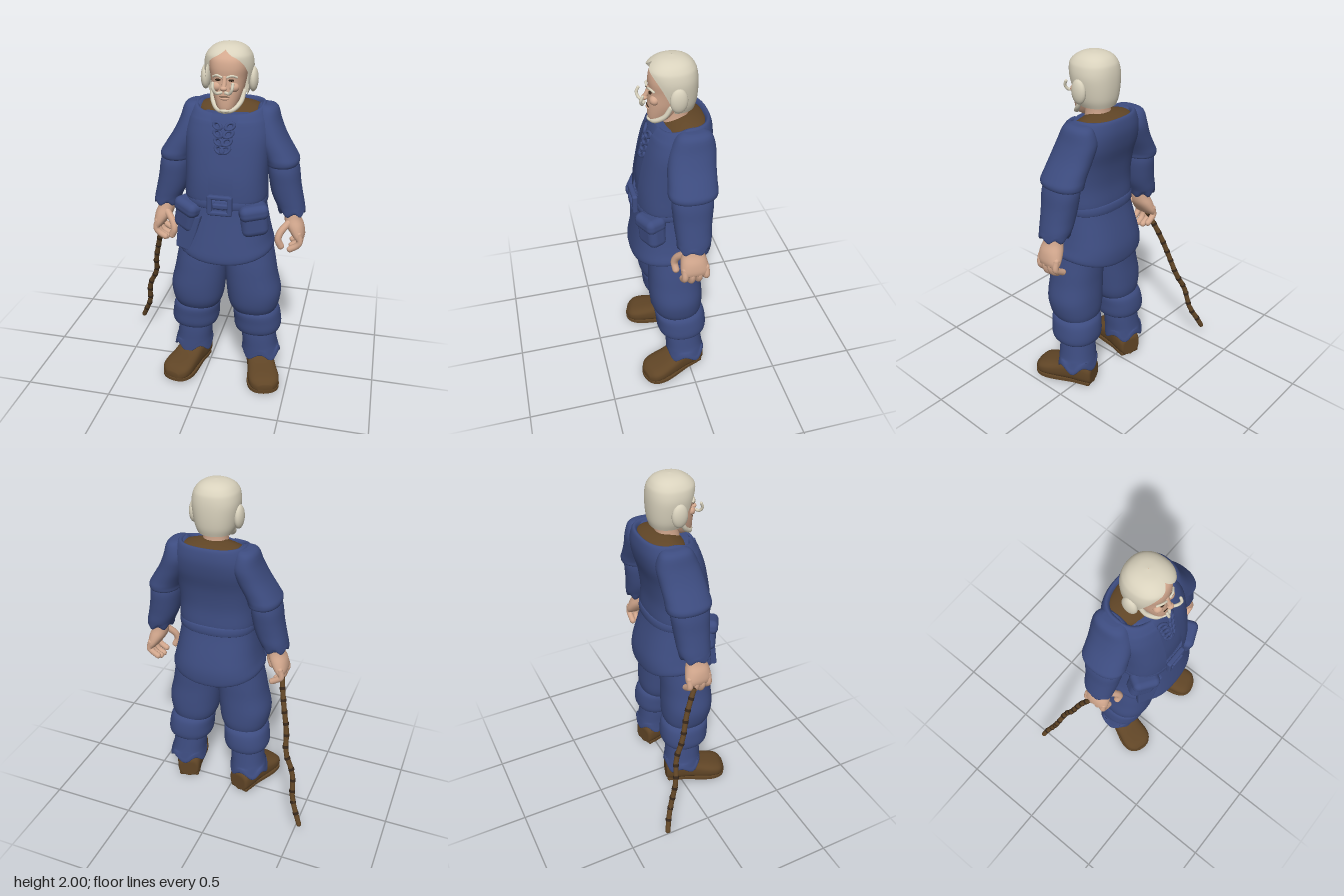
import * as THREE from 'three';
import { RoundedBoxGeometry } from 'three/addons/geometries/RoundedBoxGeometry.js';

const paint = (name, color, side = THREE.FrontSide) => Object.assign(new THREE.MeshStandardMaterial({ color, side }), { name });

// Catmull-Rom blend of four numbers
const blend = (a, b, c, d, t) =>
  b + 0.5 * t * (c - a + t * (2 * a - 5 * b + 4 * c - d + t * (3 * (b - c) + d - a)));

// Skin over oval sections [y, centreX, radiusX, zFront, zBack, openAngle?]; openAngle leaves a gap at the front
function loftGeometry(secs, { p = 0.9, n = 36, steps = 4, warp } = {}) {
  const open = secs[0].length > 5, cols = open ? n + 1 : n;
  const rings = [];
  for (let i = 0; i < secs.length - 1; i++) {
    const q = [i - 1, i, i + 1, i + 2].map(k => secs[Math.min(Math.max(k, 0), secs.length - 1)]);
    for (let k = 0; k < steps; k++) rings.push(q[1].map((_, m) => blend(q[0][m], q[1][m], q[2][m], q[3][m], k / steps)));
  }
  rings.push(secs[secs.length - 1]);
  const pos = [], idx = [], v = new THREE.Vector3();
  const pw = c => Math.sign(c) * Math.abs(c) ** p;
  for (const [y, cx, rx, zf, zb, t0 = 0] of rings) {
    for (let j = 0; j < cols; j++) {
      const t = t0 + (j / n) * (2 * Math.PI - 2 * t0);
      v.set(cx + rx * pw(Math.sin(t)), y, (zf + zb) / 2 + (zf - zb) / 2 * pw(Math.cos(t)));
      if (warp) warp(v, t);
      pos.push(v.x, v.y, v.z);
    }
  }
  const up = secs[secs.length - 1][0] > secs[0][0];
  const tri = (a, b, c) => up ? idx.push(a, b, c) : idx.push(a, c, b);
  for (let i = 0; i < rings.length - 1; i++) for (let j = 0; j < n; j++) {
    const a = i * cols + j, b = i * cols + (j + 1) % cols;
    tri(a, b, a + cols);
    tri(b, b + cols, a + cols);
  }
  if (!open) for (const end of [0, rings.length - 1]) {
    const [y, cx, , zf, zb] = rings[end], c = pos.length / 3;
    pos.push(cx, y, (zf + zb) / 2);
    for (let j = 0; j < n; j++) {
      const a = end * cols + j, b = end * cols + (j + 1) % n;
      end ? tri(a, b, c) : tri(b, a, c);
    }
  }
  const g = new THREE.BufferGeometry();
  g.setAttribute('position', new THREE.Float32BufferAttribute(pos, 3));
  g.setIndex(idx);
  g.computeVertexNormals();
  return g;
}

export function createModel() {
  const cloth = paint('blue cloth', 0x3d4c80, THREE.DoubleSide);
  const skin = paint('skin', 0xd3a88e);
  const hairMat = paint('grey hair', 0xd9d2bd, THREE.DoubleSide);
  const leather = paint('brown leather', 0x604526);
  const dark = paint('dark brown', 0x35261a);

  const model = new THREE.Group();
  model.name = 'oldTraveller';
  const body = new THREE.Group();
  body.name = 'body';
  body.position.x = 0.11;
  model.add(body);

  const add = (name, geo, mat, x = 0, y = 0, z = 0, parent = body) => {
    const m = new THREE.Mesh(geo, mat);
    m.name = name;
    m.position.set(x, y, z);
    parent.add(m);
    return m;
  };
  const loft = (name, mat, secs, opt) => add(name, loftGeometry(secs, opt), mat);
  const curve = pts => new THREE.CatmullRomCurve3(pts.map(q => new THREE.Vector3(...q)));
  const tube = (name, mat, pts, r, parent = body) => {
    add(name, new THREE.TubeGeometry(curve(pts), 16, r, 10), mat, 0, 0, 0, parent);
    for (const e of [pts[0], pts[pts.length - 1]]) add(name + 'End', new THREE.SphereGeometry(r, 10, 8), mat, ...e, parent);
  };
  const ball = (name, mat, at, size) => {
    const m = add(name, new THREE.SphereGeometry(1, 20, 14), mat, ...at);
    m.scale.set(...size);
    return m;
  };

  // Torso: shirt, open vest, collar
  const neckDip = v => { if (v.y > 1.6 && v.z > 0) v.y -= 0.3 * v.z * (v.y - 1.6) / 0.08; };
  loft('shirt', cloth, [
    [1.17, 0, 0.21, 0.24, -0.085], [1.3, 0, 0.21, 0.235, -0.08], [1.42, 0, 0.215, 0.212, -0.095],
    [1.52, 0, 0.215, 0.188, -0.125], [1.6, 0, 0.19, 0.158, -0.13], [1.64, 0, 0.12, 0.135, -0.1]], { p: 0.8 });
  loft('vest', cloth, [
    [1.19, 0, 0.205, 0.235, -0.085, 0.22], [1.175, 0, 0.223, 0.253, -0.1, 0.22], [1.2, 0, 0.228, 0.257, -0.105, 0.22],
    [1.3, 0, 0.225, 0.25, -0.1, 0.22], [1.42, 0, 0.23, 0.228, -0.115, 0.22], [1.52, 0, 0.237, 0.203, -0.143, 0.22],
    [1.6, 0, 0.222, 0.175, -0.155, 0.24], [1.66, 0, 0.2, 0.155, -0.148, 0.28], [1.68, 0, 0.183, 0.14, -0.135, 0.3],
    [1.665, 0, 0.168, 0.125, -0.12, 0.3], [1.62, 0, 0.16, 0.115, -0.11, 0.3]], { p: 0.8, warp: neckDip });
  loft('collar', leather, [
    [1.6, 0, 0.18, 0.11, -0.132], [1.65, 0, 0.172, 0.1, -0.125], [1.67, 0, 0.135, 0.085, -0.1], [1.685, 0, 0.075, 0.07, -0.05]],
  { p: 0.85, warp: neckDip });

  // Lacing on the chest
  for (let i = 0; i < 4; i++) for (const s of [-1, 1]) {
    const loop = add('lacing', new THREE.TorusGeometry(0.02, 0.009, 8, 16), cloth, s * (0.034 - 0.006 * i), 1.585 - i * 0.04, 0.178 + i * 0.011);
    loop.rotation.set(-0.3, s * 0.3, s * 0.5);
    loop.scale.set(1.2, 0.8, 1);
  }

  // Tunic skirt with a hem turned under
  loft('tunicSkirt', cloth, [
    [1.21, 0, 0.21, 0.24, -0.09], [1.12, 0, 0.222, 0.25, -0.11], [1.0, 0, 0.243, 0.272, -0.145],
    [0.92, 0, 0.257, 0.287, -0.163], [0.855, 0, 0.271, 0.297, -0.165], [0.825, 0, 0.266, 0.29, -0.157],
    [0.84, 0, 0.24, 0.26, -0.135], [0.87, 0, 0.2, 0.22, -0.1]],
  { p: 0.82, warp: v => { if (v.y < 1) v.y += 0.6 * (1 - v.y) * (v.x / 0.27) ** 2 * 0.45; } });
  loft('belt', cloth, [
    [1.14, 0, 0.218, 0.248, -0.105], [1.145, 0, 0.228, 0.26, -0.115], [1.185, 0, 0.226, 0.258, -0.113], [1.195, 0, 0.212, 0.245, -0.1]],
  { p: 0.82, steps: 2 });

  // Buckle
  for (const s of [-1, 1]) {
    add('buckleSide', new RoundedBoxGeometry(0.028, 0.11, 0.03, 2, 0.01), cloth, s * 0.055, 1.17, 0.265);
    add('buckleBar', new RoundedBoxGeometry(0.13, 0.025, 0.03, 2, 0.01), cloth, 0, 1.17 + s * 0.045, 0.265);
  }
  add('bucklePin', new RoundedBoxGeometry(0.085, 0.03, 0.03, 2, 0.01), cloth, 0.005, 1.17, 0.272);

  // Hip pouches with flaps
  for (const [x, y, z, ry, h] of [[0.175, 1.075, 0.2, 0.4, 0.17], [-0.19, 1.07, 0.185, -0.55, 0.18]]) {
    const pouch = new THREE.Group();
    pouch.name = 'pouch';
    pouch.position.set(x, y, z);
    pouch.rotation.set(0, ry, x > 0 ? 0.1 : -0.2);
    body.add(pouch);
    add('pouchBag', new RoundedBoxGeometry(0.15, h, 0.11, 4, 0.04), cloth, 0, 0, 0, pouch);
    add('pouchFlap', new RoundedBoxGeometry(0.16, 0.085, 0.12, 4, 0.035), cloth, 0, 0.055, 0.006, pouch);
  }
  // Loose cloth hanging at the right hip
  const rag = new THREE.Shape([[0.05, 0.09], [-0.09, 0.04], [-0.1, -0.1], [-0.02, -0.11], [0.02, 0]].map(q => new THREE.Vector2(...q)));
  const ragMesh = add('hangingCloth', new THREE.ExtrudeGeometry(rag, { depth: 0.02, bevelSize: 0.008, bevelThickness: 0.008 }), cloth, -0.15, 0.99, 0.225);
  ragMesh.rotation.set(-0.12, -0.4, 0);

  for (const s of [1, -1]) {
    const side = s > 0 ? 'left' : 'right';
    const flip = secs => secs.map(([y, cx, ...r]) => [y, s * cx, ...r]);

    // Arms: puffed upper sleeve, lower sleeve with a ragged cuff
    loft(side + 'UpperSleeve', cloth, flip([
      [1.67, 0.19, 0.03, 0.03, -0.07], [1.65, 0.2, 0.055, 0.07, -0.11], [1.58, 0.2, 0.078, 0.105, -0.13], [1.5, 0.23, 0.085, 0.125, -0.125],
      [1.42, 0.275, 0.09, 0.135, -0.12], [1.38, 0.295, 0.092, 0.14, -0.12], [1.352, 0.295, 0.084, 0.128, -0.11], [1.36, 0.295, 0.05, 0.08, -0.06]]));
    loft(side + 'LowerSleeve', cloth, flip([
      [1.4, 0.3, 0.07, 0.1, -0.08], [1.33, 0.305, 0.085, 0.122, -0.095], [1.25, 0.315, 0.086, 0.12, -0.088], [1.18, 0.33, 0.085, 0.115, -0.08],
      [1.12, 0.35, 0.078, 0.11, -0.075], [1.075, 0.363, 0.07, 0.105, -0.06], [1.08, 0.363, 0.045, 0.07, -0.03]]),
    { warp: (v, t) => { if (v.y < 1.1) v.y += 0.012 * Math.sin(6 * t); } });

    // Hands with curled fingers
    loft(side + 'Palm', skin, flip([
      [1.12, 0.36, 0.04, 0.07, -0.025], [1.05, 0.365, 0.045, 0.08, -0.03], [1.0, 0.38, 0.05, 0.095, -0.045],
      [0.95, 0.4, 0.038, 0.1, -0.055], [0.92, 0.41, 0.022, 0.095, -0.05]]), { n: 24 });
    for (let i = 0; i < 4; i++) {
      const z = 0.08 - i * 0.039, d = [0.015, 0, 0.005, 0.025][i];
      tube(side + 'Finger', skin, [[s * 0.408, 0.96, z], [s * 0.417, 0.91, z], [s * 0.4, 0.87 + d, z], [s * 0.365, 0.848 + d, z]], 0.018);
    }
    tube(side + 'Thumb', skin, [[s * 0.35, 1.02, 0.07], [s * 0.31, 0.97, 0.1], [s * 0.3, 0.93, 0.11], [s * 0.315, 0.89, 0.105]], 0.02);

    // Trousers: baggy thigh, knee cuff, ragged shin wrap
    loft(side + 'TrouserLeg', cloth, flip([
      [0.95, 0.13, 0.12, 0.19, -0.07], [0.8, 0.14, 0.142, 0.213, -0.075], [0.7, 0.15, 0.15, 0.22, -0.075], [0.6, 0.165, 0.157, 0.222, -0.08],
      [0.52, 0.167, 0.148, 0.213, -0.08], [0.47, 0.168, 0.13, 0.19, -0.07], [0.44, 0.17, 0.1, 0.16, -0.05]]));
    loft(side + 'KneeCuff', cloth, flip([
      [0.485, 0.17, 0.11, 0.175, -0.06], [0.455, 0.178, 0.133, 0.194, -0.088], [0.4, 0.186, 0.138, 0.19, -0.1],
      [0.345, 0.19, 0.138, 0.184, -0.1], [0.318, 0.19, 0.122, 0.165, -0.085], [0.335, 0.19, 0.08, 0.12, -0.05]]));
    loft(side + 'ShinWrap', cloth, flip([
      [0.37, 0.19, 0.09, 0.125, -0.06], [0.28, 0.195, 0.1, 0.135, -0.07], [0.2, 0.203, 0.105, 0.135, -0.08],
      [0.155, 0.21, 0.116, 0.135, -0.09], [0.135, 0.21, 0.112, 0.13, -0.085], [0.16, 0.208, 0.07, 0.09, -0.05]]),
    { warp: (v, t) => { if (v.y < 0.18) v.y += 0.022 * Math.sin(5 * t + s); } });

    // Boots, toes turned outward
    const boot = new THREE.Group();
    boot.name = side + 'Boot';
    boot.position.x = s * 0.195;
    boot.rotation.y = s * 0.3;
    body.add(boot);
    const upper = loftGeometry([
      [-0.078, 0, 0.04, -0.02, -0.1], [-0.07, 0, 0.066, -0.01, -0.14], [0, 0, 0.08, -0.01, -0.175], [0.06, 0, 0.08, -0.01, -0.16],
      [0.14, 0, 0.086, -0.01, -0.125], [0.22, 0, 0.092, -0.01, -0.105], [0.27, 0, 0.078, -0.01, -0.088], [0.298, 0, 0.04, -0.015, -0.06]], { p: 0.7 });
    add('bootUpper', upper.rotateX(Math.PI / 2), leather, 0, 0, 0, boot);
    const outline = new THREE.Shape();
    outline.moveTo(0, 0.08).splineThru([[0.06, 0.05], [0.07, -0.04], [0.095, -0.2], [0.07, -0.28], [0, -0.305],
      [-0.07, -0.28], [-0.095, -0.2], [-0.07, -0.04], [-0.06, 0.05], [0, 0.08]].map(q => new THREE.Vector2(...q)));
    add('bootSole', new THREE.ExtrudeGeometry(outline, { depth: 0.018, bevelEnabled: false }).rotateX(-Math.PI / 2), leather, 0, 0.008, 0, boot);
    add('bootHeel', new RoundedBoxGeometry(0.125, 0.03, 0.11, 2, 0.01), leather, 0, 0.015, -0.015, boot);

    // Ear mounds, eyes, brows, moustache halves, whiskers
    ball(side + 'EarHair', hairMat, [s * 0.128, 1.81, 0.04], [0.026, 0.066, 0.046]);
    ball(side + 'Cheek', skin, [s * 0.045, 1.785, 0.145], [0.028, 0.025, 0.025]);
    ball(side + 'Eye', dark, [s * 0.035, 1.824, 0.163], [0.015, 0.006, 0.008]);
    tube(side + 'Brow', hairMat, [[s * 0.015, 1.84, 0.17], [s * 0.038, 1.848, 0.167], [s * 0.062, 1.838, 0.15]], 0.006);
    tube(side + 'Moustache', hairMat, [[s * 0.012, 1.765, 0.19], [s * 0.035, 1.765, 0.205], [s * 0.05, 1.79, 0.215], [s * 0.052, 1.815, 0.205]], 0.008);
    tube(side + 'Beard', hairMat, [[s * 0.085, 1.75, 0.07], [s * 0.075, 1.7, 0.1], [s * 0.04, 1.665, 0.145], [0, 1.658, 0.16]], 0.013);
  }

  // Head
  loft('neck', skin, [[1.6, 0, 0.08, 0.1, -0.06], [1.68, 0, 0.068, 0.09, -0.04], [1.76, 0, 0.07, 0.09, -0.045]]);
  loft('face', skin, [
    [1.65, 0, 0.025, 0.15, 0.08], [1.665, 0, 0.045, 0.168, 0.05], [1.7, 0, 0.063, 0.172, 0.0], [1.75, 0, 0.08, 0.17, -0.04], [1.8, 0, 0.09, 0.165, -0.06],
    [1.83, 0, 0.095, 0.163, -0.06], [1.88, 0, 0.102, 0.165, -0.06], [1.93, 0, 0.095, 0.15, -0.05], [1.965, 0, 0.06, 0.1, -0.02]]);
  loft('hair', hairMat, [
    [1.72, 0, 0.095, 0.13, -0.068, 1.4], [1.76, 0, 0.112, 0.15, -0.08, 1.3], [1.82, 0, 0.124, 0.165, -0.086, 1.15], [1.88, 0, 0.13, 0.172, -0.086, 0.9],
    [1.925, 0, 0.124, 0.175, -0.08, 0.6], [1.95, 0, 0.113, 0.168, -0.07, 0.25], [1.975, 0, 0.09, 0.14, -0.048, 0],
    [1.993, 0, 0.052, 0.1, -0.01, 0], [2.0, 0, 0.002, 0.045, 0.041, 0]]);
  tube('noseBridge', skin, [[0, 1.835, 0.16], [0, 1.805, 0.174], [0, 1.788, 0.184]], 0.012);
  ball('noseTip', skin, [0, 1.785, 0.185], [0.019, 0.013, 0.017]);
  ball('mouth', dark, [0, 1.738, 0.17], [0.028, 0.003, 0.005]);
  ball('lip', skin, [0, 1.728, 0.168], [0.024, 0.008, 0.01]);
  ball('chinTuft', hairMat, [0, 1.663, 0.155], [0.03, 0.012, 0.022]);

  // Crooked walking stick with dark bands
  const path = [[-0.29, 0.96, 0.03], [-0.306, 0.89, -0.01], [-0.34, 0.76, -0.07], [-0.38, 0.6, -0.12], [-0.395, 0.49, -0.165],
    [-0.45, 0.37, -0.195], [-0.47, 0.22, -0.235], [-0.5, 0.15, -0.265], [-0.533, 0.075, -0.287]];
  const stick = new THREE.Group();
  stick.name = 'walkingStick';
  model.add(stick);
  tube('stickShaft', leather, path, 0.0155, stick);
  const line = curve(path);
  for (let i = 1; i < 14; i++) {
    const u = i / 14;
    const band = add('stickBand', new THREE.CylinderGeometry(0.0175, 0.0175, 0.016, 10), dark, ...line.getPointAt(u), stick);
    band.quaternion.setFromUnitVectors(new THREE.Vector3(0, 1, 0), line.getTangentAt(u));
  }
  return model;
}
